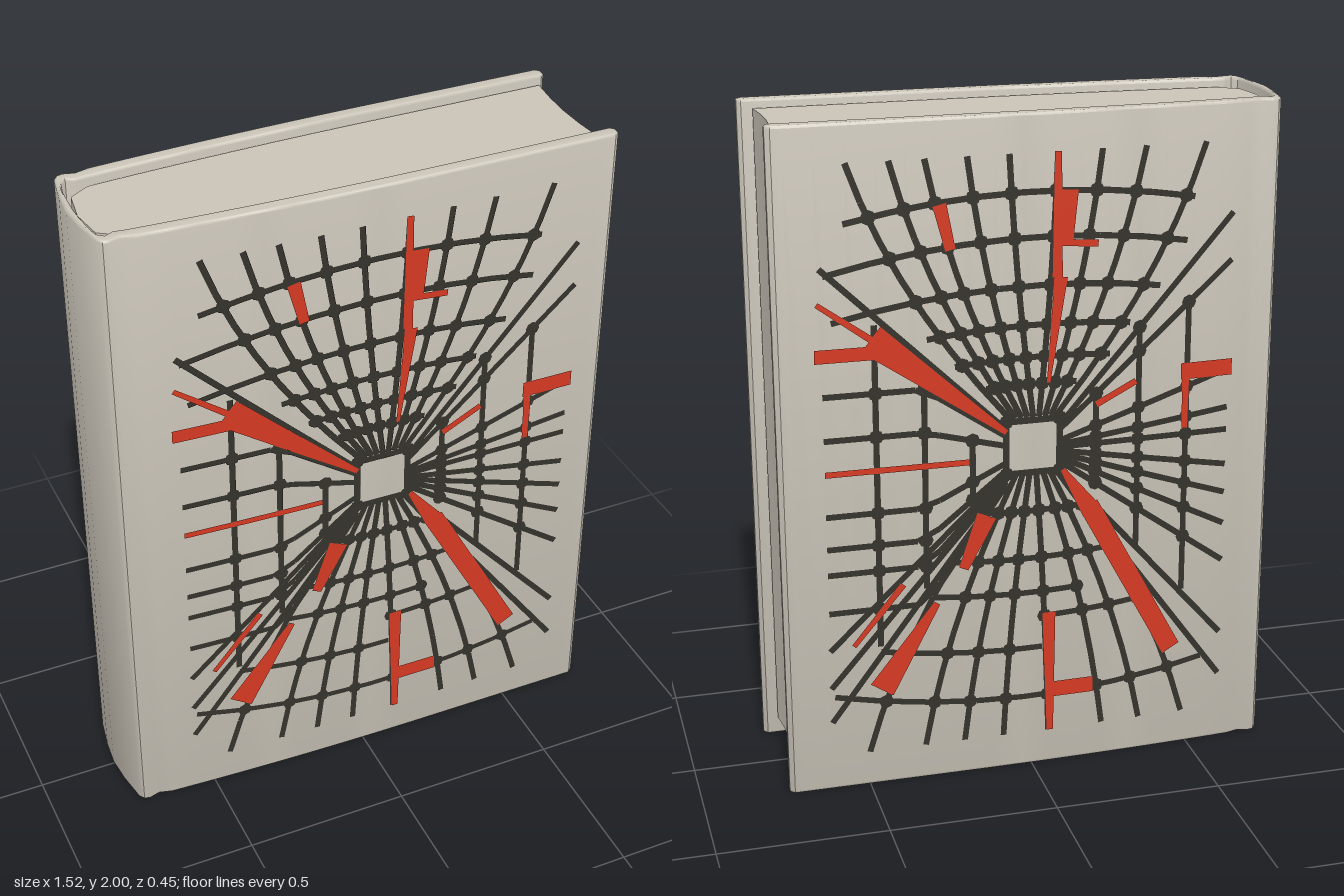
import * as THREE from 'three';
import { mergeGeometries, toCreasedNormals } from 'three/addons/utils/BufferGeometryUtils.js';

const mat = (name, color) => Object.assign(new THREE.MeshStandardMaterial({ color }), { name });
const stone = mat('warm grey', 0xc9c3b7);
const ink = mat('charcoal', 0x34322b);
const red = mat('red', 0xd63a22);

// Outer face of a cover board: flat near the fore edge, easing inward to the spine
const boardZ = (x) => 0.22 - 0.03 * Math.pow(Math.max(0, 0.2 - x) / 0.9, 2);
const mirror = (pts) => pts.map(([x, z]) => [x, -z]).reverse();

// Points along a board from x0 to x1, set in from its outer face
function boardLine(x0, x1, inset) {
  return Array.from({ length: 17 }, (_, i) => {
    const x = x0 + ((x1 - x0) * i) / 16;
    return [x, boardZ(x) - inset];
  });
}

// Extrude an outline of [x, z] points upwards from y0 to y1
function upright(points, y0, y1, bevel) {
  const shape = new THREE.Shape(points.map(([x, z]) => new THREE.Vector2(x, -z)));
  const geo = new THREE.ExtrudeGeometry(shape, {
    depth: y1 - y0 - 2 * bevel, bevelEnabled: bevel > 0, bevelSize: bevel,
    bevelThickness: bevel, bevelOffset: -bevel, bevelSegments: 3,
  });
  geo.rotateX(-Math.PI / 2).translate(0, y0 + bevel, 0);
  return toCreasedNormals(geo, 0.6);
}

// Boards, hinges and rounded spine as one continuous wrap
function caseOutline() {
  const outer = (end) => [
    [end - 0.012, 0.178], [end, 0.19], [end, 0.208], [end - 0.014, 0.22],
    ...boardLine(0.7, -0.64, 0),
    [-0.68, 0.183], [-0.712, 0.192], [-0.73, 0.188], [-0.742, 0.172], [-0.758, 0.08],
  ];
  const inner = [[-0.74, 0.1], [-0.73, 0.145], [-0.715, 0.158], [-0.69, 0.146], ...boardLine(-0.66, 0.68, 0.042)];
  return [...outer(0.76), [-0.765, 0], ...mirror(outer(0.742)), ...mirror(inner), [-0.745, 0], ...inner];
}

// Page block with a rounded back and slightly hollow fore edge
function pageOutline() {
  const half = [[0.708, 0.08], [0.717, 0.166], ...boardLine(0.5, -0.66, 0.054), [-0.72, 0.1]];
  return [[0.705, 0], ...half, [-0.735, 0], ...mirror(half)];
}

// The artwork is laid out in hundredths of a unit.
// Flat bar between two points, tapering from width w0 to w1
function bar(x0, y0, x1, y1, w0, w1) {
  const len = Math.hypot(x1 - x0, y1 - y0);
  const geo = new THREE.PlaneGeometry(len, 1, 6, 1);
  const p = geo.attributes.position;
  for (let i = 0; i < p.count; i++) p.setY(i, p.getY(i) * (w0 + (w1 - w0) * (p.getX(i) / len + 0.5)));
  return geo.rotateZ(Math.atan2(y1 - y0, x1 - x0)).translate((x0 + x1) / 2, (y0 + y1) / 2, 0);
}

const knot = (x, y) => new THREE.CircleGeometry(2.2, 8).translate(x, y, 0);

// Chain of bars through the points of a curve
function chain(curve, from, to, steps) {
  const at = (i) => curve(from + ((to - from) * i) / steps);
  return Array.from({ length: steps }, (_, i) => bar(...at(i), ...at(i + 1), 1.8, 1.8));
}

// Bowed rays from the central window to the top or bottom, crossed by arched rings
function fan(y0, y1, ends, rings) {
  const pieces = [];
  const rays = ends.map((end, i) => {
    const start = -2 + (14 * i) / (ends.length - 1);
    return (y) => {
      const s = (y - y0) / (y1 - y0);
      return start + (end - start) * s * (1.45 - 0.45 * s);
    };
  });
  rays.forEach((ray) => pieces.push(...chain((y) => [ray(y), y], y0, y1, 7)));
  const arch = 0.002 * Math.sign(y0 - y1);
  rings.forEach(([h, left, right]) => {
    const ring = (x) => h + arch * (x - 5) ** 2;
    pieces.push(...chain((x) => [x, ring(x)], left, right, 8));
    rays.forEach((ray) => {
      const x = ray(ring(ray(h)));
      if (x > left && x < right) pieces.push(knot(x, ring(x)));
    });
  });
  return pieces;
}

// Side rays that spread from a hub until "reach", then run level; crossed by uprights
function side(hub, reach, inner, outer, rises, uprights) {
  const pieces = [];
  rises.forEach((rise) => {
    const ray = (x) => 102 + rise * Math.min(1, (x - hub) / reach);
    pieces.push(...chain((x) => [x, ray(x)], inner, outer, 8));
    uprights.forEach(([x, low, high]) => {
      if (ray(x) > low && ray(x) < high) pieces.push(knot(x, ray(x)));
    });
  });
  uprights.forEach(([x, low, high]) => pieces.push(bar(x, low, x, high, 1.8, 1.8)));
  return pieces;
}

const leftUprights = [[-41, 45, 143], [-27, 62, 131], [-13, 84, 108]];
const rightUprights = [[24, 88, 119], [37, 68, 137], [52, 52, 143]];

const webPieces = () => [
  ...fan(112, 189, [-48, -36, -26, -14, -2, 12, 25, 38, 56],
    [[178, -49, 53], [165, -55, 51], [151, -53, 43], [139.5, -26, 34], [130, -18, 28], [122, -9, 18]]),
  ...fan(95, 11, [-45, -28, -16, -4, 10, 27, 39, 53],
    [[83, -12, 24], [68, -18, 28], [57, -25, 20], [49, 8, 38], [39, -41, 8], [23, -55, 59]]),
  ...side(4, -31, -3, -56, [21, 8, -15, -25, -33, -45], leftUprights),
  ...side(4, -60, -3, -56, [58, -57, -69, -80], []),
  ...side(7, 58, 13, 65, [66, 52, 19, 7, 0, -11, -20, -30, -42, -66, -80], rightUprights),
  // Central window
  ...[-3, 13].map((x) => bar(x, 95, x, 111, 2, 2)),
  ...[95, 111].map((y) => bar(-3, y, 13, y, 2, 2)),
  ...[-3, 13].flatMap((x) => [knot(x, 95), knot(x, 111)]),
];

// Red bars: start, end, and the width at each
const redBars = [
  [-22, 176, -19, 163, 4, 3],
  [12, 189, 12, 153, 2, 3], [15, 178, 14, 163, 6, 5], [13, 163, 24, 162, 2, 2], [13, 153, 9.5, 122, 4, 1],
  [-58, 135, -36, 135, 4, 4], [-42, 139, -3, 108, 9, 1.5], [-57, 150, -42, 139, 1.5, 2],
  [-56, 100, -14, 100, 1.8, 1.8],
  [50, 121.5, 66, 121.5, 5, 5], [51.5, 121, 51.5, 104, 2.2, 1.8], [24, 114, 36, 120, 2, 2],
  [14, 95, 23, 81, 1.5, 6], [22, 83, 49, 33, 6, 6],
  [10, 50, 10.5, 11, 4, 2], [10, 24.5, 24, 24.5, 5, 5],
  [-9, 83, -16, 67, 6, 3], [-41, 31, -24, 57, 8, 2], [-49, 46, -34, 64, 1.5, 2],
];

// Merge flat pieces and lay them on the curved board
function layOn(pieces, surface, lift) {
  const geo = mergeGeometries(pieces).scale(0.01, 0.01, 1);
  const p = geo.attributes.position;
  for (let i = 0; i < p.count; i++) p.setZ(i, surface(p.getX(i)) + lift);
  geo.computeVertexNormals();
  return geo;
}

function addMesh(group, name, geo, material) {
  const mesh = new THREE.Mesh(geo, material);
  mesh.name = name;
  group.add(mesh);
}

function artwork(name, surface) {
  const group = new THREE.Group();
  group.name = name;
  addMesh(group, 'webLines', layOn(webPieces(), surface, 0.003), ink);
  addMesh(group, 'redBars', layOn(redBars.map((b) => bar(...b)), surface, 0.006), red);
  return group;
}

export function createModel() {
  const book = new THREE.Group();
  book.name = 'book';
  addMesh(book, 'coverAndSpine', upright(caseOutline(), 0, 2, 0.008), stone);
  addMesh(book, 'pageBlock', upright(pageOutline(), 0.06, 1.975, 0), stone);
  // The same artwork on both covers, turned about for the back
  book.add(artwork('frontArtwork', boardZ));
  const back = artwork('backArtwork', (x) => boardZ(0.05 - x));
  back.rotation.y = Math.PI;
  back.position.x = 0.05;
  book.add(back);
  return book;
}
